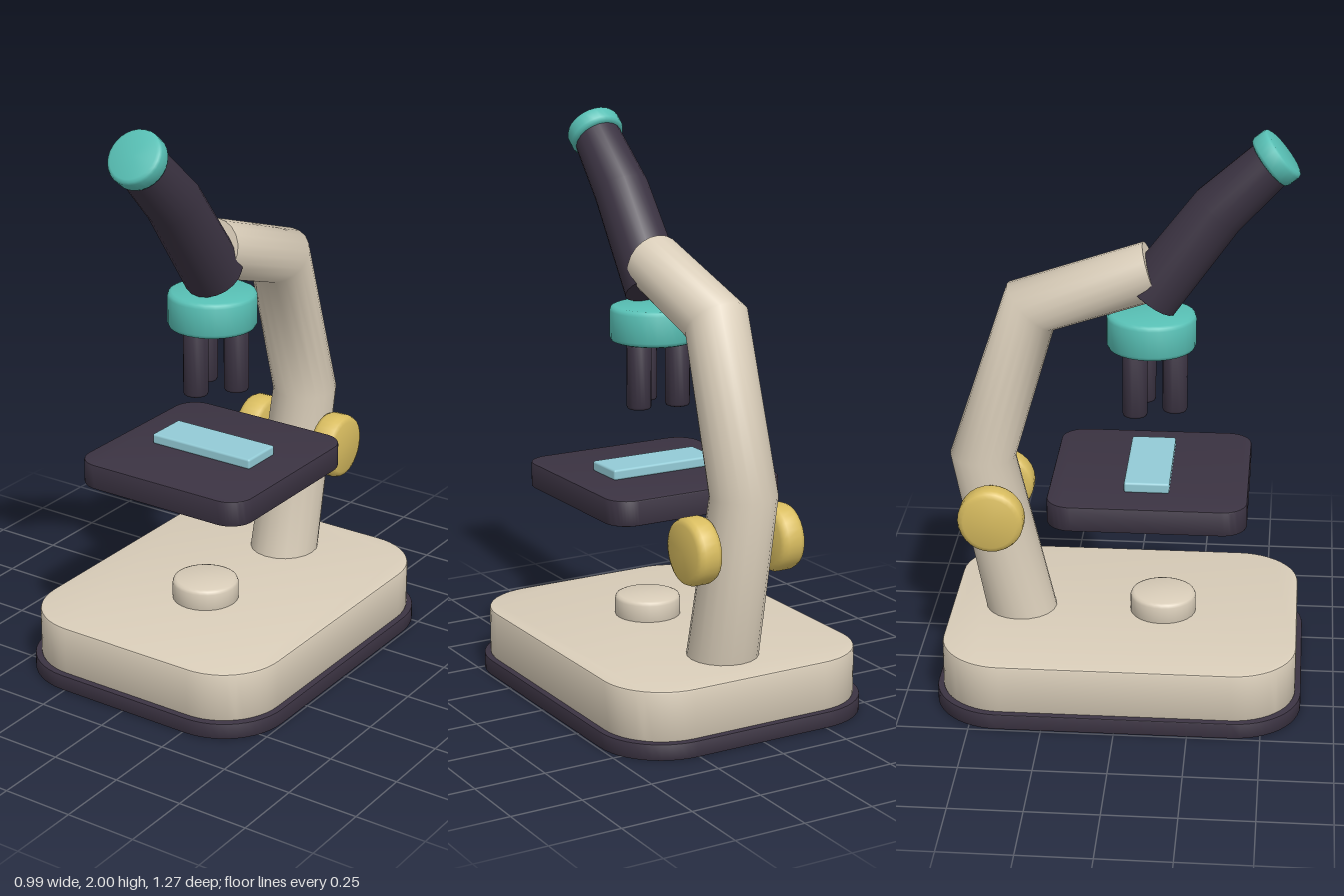
import * as THREE from 'three';
import { toCreasedNormals } from 'three/addons/utils/BufferGeometryUtils.js';
import { RoundedBoxGeometry } from 'three/addons/geometries/RoundedBoxGeometry.js';

const material = (name, color) => {
  const m = new THREE.MeshStandardMaterial({ color });
  m.name = name;
  return m;
};

// Flat slab with rounded corners, standing on its own y = 0
function slab(halfX, halfZ, height, radius, bevel) {
  const s = new THREE.Shape();
  const x = halfX - radius, z = halfZ - radius;
  s.absarc(x, z, radius, 0, Math.PI / 2);
  s.absarc(-x, z, radius, Math.PI / 2, Math.PI);
  s.absarc(-x, -z, radius, Math.PI, Math.PI * 1.5);
  s.absarc(x, -z, radius, Math.PI * 1.5, Math.PI * 2);
  s.closePath();
  const g = new THREE.ExtrudeGeometry(s, {
    depth: height - 2 * bevel, curveSegments: 6,
    bevelThickness: bevel, bevelSize: bevel, bevelOffset: -bevel, bevelSegments: 2,
  });
  g.translate(0, 0, bevel).rotateX(-Math.PI / 2);
  return toCreasedNormals(g, 0.7);
}

// Upright disc with rounded rims, centred on its own origin
function disc(radius, height, bevel, sides = 28) {
  const h = height / 2, k = bevel * 0.293;
  const rim = [[radius - bevel, h], [radius - k, h - k], [radius, h - bevel]];
  const profile = [[0, -h], ...rim.map(([r, y]) => [r, -y]), ...rim.reverse(), [0, h]];
  const g = new THREE.LatheGeometry(profile.map(([r, y]) => new THREE.Vector2(r, y)), sides);
  return toCreasedNormals(g, 0.85);
}

// Round bar through stations [z, y, radius] in the x = 0 plane, capped at both ends
function bentBar(stations, sides = 20) {
  const pts = stations.map(([z, y]) => new THREE.Vector3(0, y, z));
  const pos = [], idx = [], last = pts.length - 1;
  pts.forEach((p, i) => {
    const t = new THREE.Vector3();
    if (i > 0) t.add(p.clone().sub(pts[i - 1]).normalize());
    if (i < last) t.add(pts[i + 1].clone().sub(p).normalize());
    t.normalize();
    const r = stations[i][2];
    for (let j = 0; j < sides; j++) {
      const a = (j / sides) * Math.PI * 2, s = r * Math.sin(a);
      pos.push(r * Math.cos(a), p.y + s * t.z, p.z - s * t.y);
    }
  });
  const start = pos.length / 3, end = start + 1;
  pos.push(...pts[0].toArray(), ...pts[last].toArray());
  for (let j = 0; j < sides; j++) {
    const n = (j + 1) % sides;
    for (let i = 0; i < last; i++) {
      const a = i * sides, b = a + sides;
      idx.push(a + j, a + n, b + j, a + n, b + n, b + j);
    }
    idx.push(start, n, j, end, last * sides + j, last * sides + n);
  }
  const g = new THREE.BufferGeometry();
  g.setAttribute('position', new THREE.Float32BufferAttribute(pos, 3));
  g.setIndex(idx);
  return toCreasedNormals(g, 1.1);
}

export function createModel() {
  const model = new THREE.Group();
  model.name = 'microscope';

  const cream = material('cream enamel', 0xd9cdb9);
  const dark = material('dark plum', 0x3b3342);
  const teal = material('teal', 0x58c0b5);
  const gold = material('brass yellow', 0xd9bd60);
  const glass = material('pale blue glass', 0x93cbd6);

  const add = (name, geometry, mat, x = 0, y = 0, z = 0) => {
    const mesh = new THREE.Mesh(geometry, mat);
    mesh.name = name;
    mesh.position.set(x, y, z);
    model.add(mesh);
    return mesh;
  };

  // Base and lamp
  add('foot', slab(0.495, 0.635, 0.057, 0.235, 0.004), dark);
  add('base', slab(0.475, 0.615, 0.175, 0.22, 0.008), cream, 0, 0.055, 0);
  add('lamp', disc(0.116, 0.09, 0.014), cream, 0, 0.257, 0.138);

  // Bent arm
  add('arm', bentBar([
    [-0.36, 0.19, 0.123], [-0.495, 0.815, 0.115],
    [-0.32, 1.367, 0.112], [0.092, 1.505, 0.102],
  ]), cream);

  // Stage and specimen slide
  add('stage', slab(0.338, 0.34, 0.09, 0.085, 0.006), dark, 0, 0.685, 0.095);
  add('slide', new RoundedBoxGeometry(0.405, 0.037, 0.155, 2, 0.008), glass, 0, 0.792, 0.09);

  // Focus knobs on either side of the arm
  for (const side of [1, -1]) {
    const name = side > 0 ? 'leftFocusKnob' : 'rightFocusKnob';
    add(name, disc(0.115, 0.092, 0.022), gold, side * 0.161, 0.64, -0.45).rotation.z = Math.PI / 2;
  }

  // Nosepiece with three objectives spaced evenly around it
  add('nosepiece', disc(0.153, 0.124, 0.016), teal, 0, 1.294, 0.092);
  for (let i = 0; i < 3; i++) {
    const a = THREE.MathUtils.degToRad(98 + i * 120);
    add('objective' + (i + 1), disc(0.043, 0.23, 0.01, 18), dark,
      0.083 * Math.cos(a), 1.119, 0.092 + 0.083 * Math.sin(a));
  }

  // Eyepiece tube and its cap
  add('eyepieceTube', bentBar([
    [0.087, 1.418, 0.105], [0.313, 1.724, 0.097], [0.495, 1.9, 0.083],
  ]), dark);
  const cap = add('eyepieceCap', disc(0.097, 0.066, 0.014), teal, 0, 1.908, 0.5);
  cap.rotation.x = Math.atan2(0.777, 0.63);

  return model;
}
